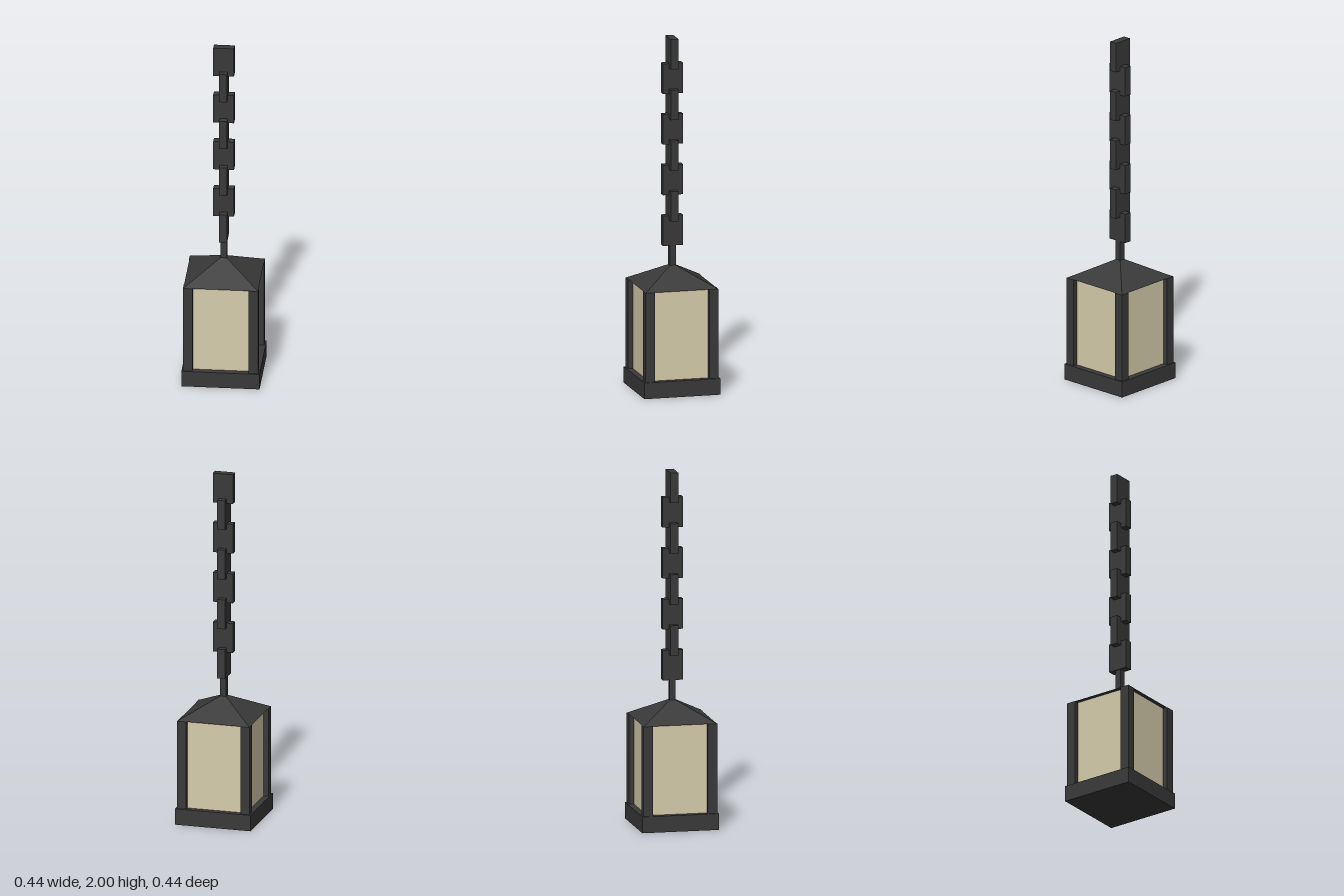
import * as THREE from 'three';

export function createModel() {
  const group = new THREE.Group();
  const iron = new THREE.MeshStandardMaterial({ name: 'dark iron', color: 0x383938, flatShading: true });
  const pane = new THREE.MeshStandardMaterial({ name: 'pale glass', color: 0xd6cdac, flatShading: true });

  const add = (name, geometry, material, x, y, z) => {
    const mesh = new THREE.Mesh(geometry, material);
    mesh.name = name;
    mesh.position.set(x, y, z);
    group.add(mesh);
    return mesh;
  };
  // Box standing between two heights
  const box = (name, w, y0, y1, d, material = iron, x = 0, z = 0) =>
    add(name, new THREE.BoxGeometry(w, y1 - y0, d), material, x, (y0 + y1) / 2, z);

  // Lantern body: plinth, recessed glass, four corner posts
  box('base', 0.436, 0, 0.092, 0.436);
  box('glass', 0.364, 0.092, 0.6, 0.364, pane);
  for (const sx of [-1, 1])
    for (const sz of [-1, 1])
      box('cornerPost', 0.053, 0.092, 0.6, 0.053, iron, sx * 0.1835, sz * 0.1835);

  // Four-sided roof, turned square to the body
  const roof = new THREE.CylinderGeometry(0.001, 0.208 * Math.SQRT2, 0.115, 4);
  roof.rotateY(Math.PI / 4);
  add('roof', roof, iron, 0, 0.6575, 0);

  // Hanging rod and chain of crossed flat links
  box('rod', 0.034, 0.69, 0.83, 0.034);
  const pitch = 0.1442;
  for (let i = 0; i < 8; i++) {
    const y = 0.82 + i * pitch;
    const wide = i % 2 === 1;
    box('chainLink', wide ? 0.116 : 0.045, y, y + 0.1706, wide ? 0.045 : 0.116);
  }
  return group;
}
